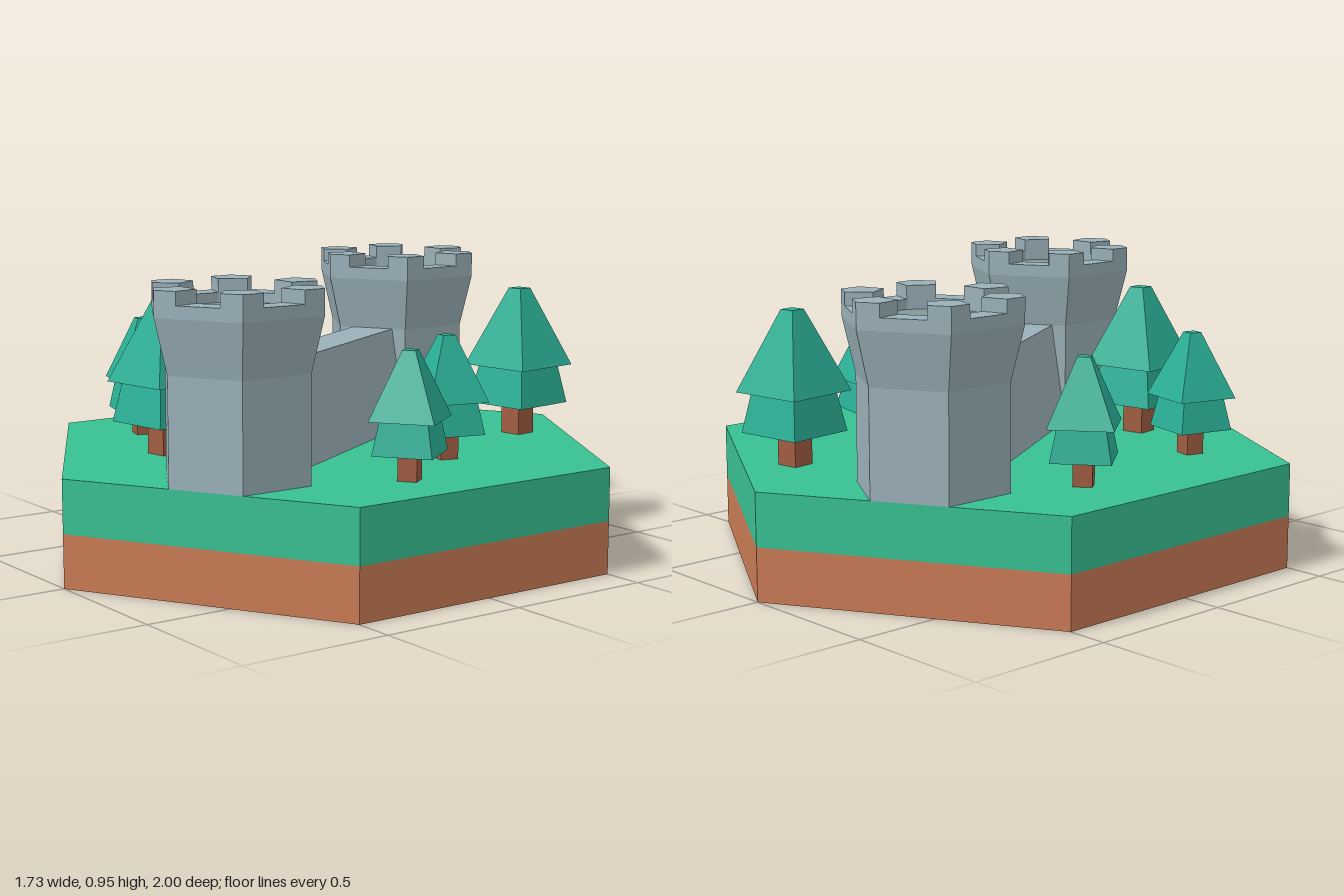
import * as THREE from 'three';

const mat = (color) => new THREE.MeshStandardMaterial({ color, flatShading: true });
const GRASS = mat(0x38c092), DIRT = mat(0xc87a54), STONE = mat(0x9ab0b8);
const FLOOR = mat(0x84979b), LEAF = mat(0x2bb096), BARK = mat(0xa05c40);
const GROUND = 0.35;

function add(parent, name, geometry, material, y = 0) {
  const mesh = new THREE.Mesh(geometry, material);
  mesh.name = name;
  mesh.position.y = y;
  parent.add(mesh);
  return mesh;
}

// Frustum standing on its own base; six-sided ones have corners on the z axis
function frustum(rTop, rBottom, height, sides) {
  return new THREE.CylinderGeometry(rTop, rBottom, height, sides).translate(0, height / 2, 0);
}

// Plan outline extruded upward
function slab(shape, height) {
  return new THREE.ExtrudeGeometry(shape, { depth: height, bevelEnabled: false }).rotateX(-Math.PI / 2);
}

const polar = (r, a) => new THREE.Vector2(r * Math.cos(a), r * Math.sin(a));

function makeTower() {
  const tower = new THREE.Group();
  tower.name = 'tower';
  const R = 0.294, INNER = 0.178, STEP = Math.PI / 3;
  const corners = [], inner = [];
  for (let i = 0; i < 6; i++) {
    const a = Math.PI / 2 + i * STEP;
    corners.push(polar(R, a));
    inner.push(polar(INNER, a - STEP / 4), polar(INNER, a + STEP / 4));
  }

  // Hexagonal shaft flaring out to the parapet
  const profile = [[0, GROUND], [0.25, GROUND], [0.25, 0.695], [R, 0.872]];
  add(tower, 'shaft', new THREE.LatheGeometry(profile.map(([x, y]) => new THREE.Vector2(x, y)), 6), STONE);

  // Parapet ring with a twelve-sided well
  const ring = new THREE.Shape(corners);
  ring.holes.push(new THREE.Path(inner));
  add(tower, 'parapet', slab(ring, 0.04), STONE, 0.872);
  add(tower, 'towerFloor', new THREE.CircleGeometry(INNER + 0.01, 12).rotateX(-Math.PI / 2).rotateY(STEP / 4), FLOOR, 0.88);

  // A merlon wraps each corner and covers a quarter of both sides
  for (let i = 0; i < 6; i++) {
    const c = corners[i];
    const before = c.clone().lerp(corners[(i + 5) % 6], 0.25);
    const after = c.clone().lerp(corners[(i + 1) % 6], 0.25);
    const outline = new THREE.Shape([before, c, after, inner[2 * i + 1], inner[2 * i]]);
    add(tower, 'merlon', slab(outline, 0.043), STONE, 0.912);
  }
  return tower;
}

function makeTree([x, z, turn, size]) {
  const tree = new THREE.Group();
  tree.name = 'tree';
  const square = (rTop, rBottom, h) => frustum(rTop, rBottom, h, 4).rotateY(Math.PI / 4);
  add(tree, 'trunk', square(0.055, 0.055, 0.12), BARK);
  add(tree, 'lowerBranches', square(0.135, 0.17, 0.135), LEAF, 0.107);
  add(tree, 'upperBranches', square(0.037, 0.185, 0.267), LEAF, 0.24);
  tree.position.set(x, GROUND, z);
  tree.rotation.y = THREE.MathUtils.degToRad(turn);
  tree.scale.setScalar(size);
  return tree;
}

export function createModel() {
  const model = new THREE.Group();
  model.name = 'castleTile';

  // Hexagonal ground in two layers
  add(model, 'dirt', frustum(1, 1, 0.175, 6), DIRT);
  add(model, 'grass', frustum(1, 1, 0.175, 6), GRASS, 0.175);

  // Two towers at opposite corners of the tile
  for (const side of [-1, 1]) {
    const tower = makeTower();
    tower.position.set(0.325 * side, 0, 0.563 * side);
    model.add(tower);
  }

  // Battered wall running diagonally between the towers
  const section = new THREE.Shape([[-0.125, 0], [0.125, 0], [0.075, 0.345], [-0.075, 0.345]]
    .map(([x, y]) => new THREE.Vector2(x, y)));
  const wall = new THREE.ExtrudeGeometry(section, { depth: 0.9, bevelEnabled: false }).translate(0, 0, -0.45);
  add(model, 'wall', wall, STONE, GROUND).rotation.y = Math.PI / 6;

  // Trees: x, z, turn in degrees, size
  const trees = [
    [0.22, -0.68, 8, 1], [-0.175, 0.52, 9, 1],
    [0.435, -0.177, -15, 0.8], [-0.535, 0.385, -15, 0.8],
    [0.645, 0.14, 36, 0.8], [-0.617, -0.2, 38, 0.8],
  ];
  for (const t of trees) model.add(makeTree(t));
  return model;
}
